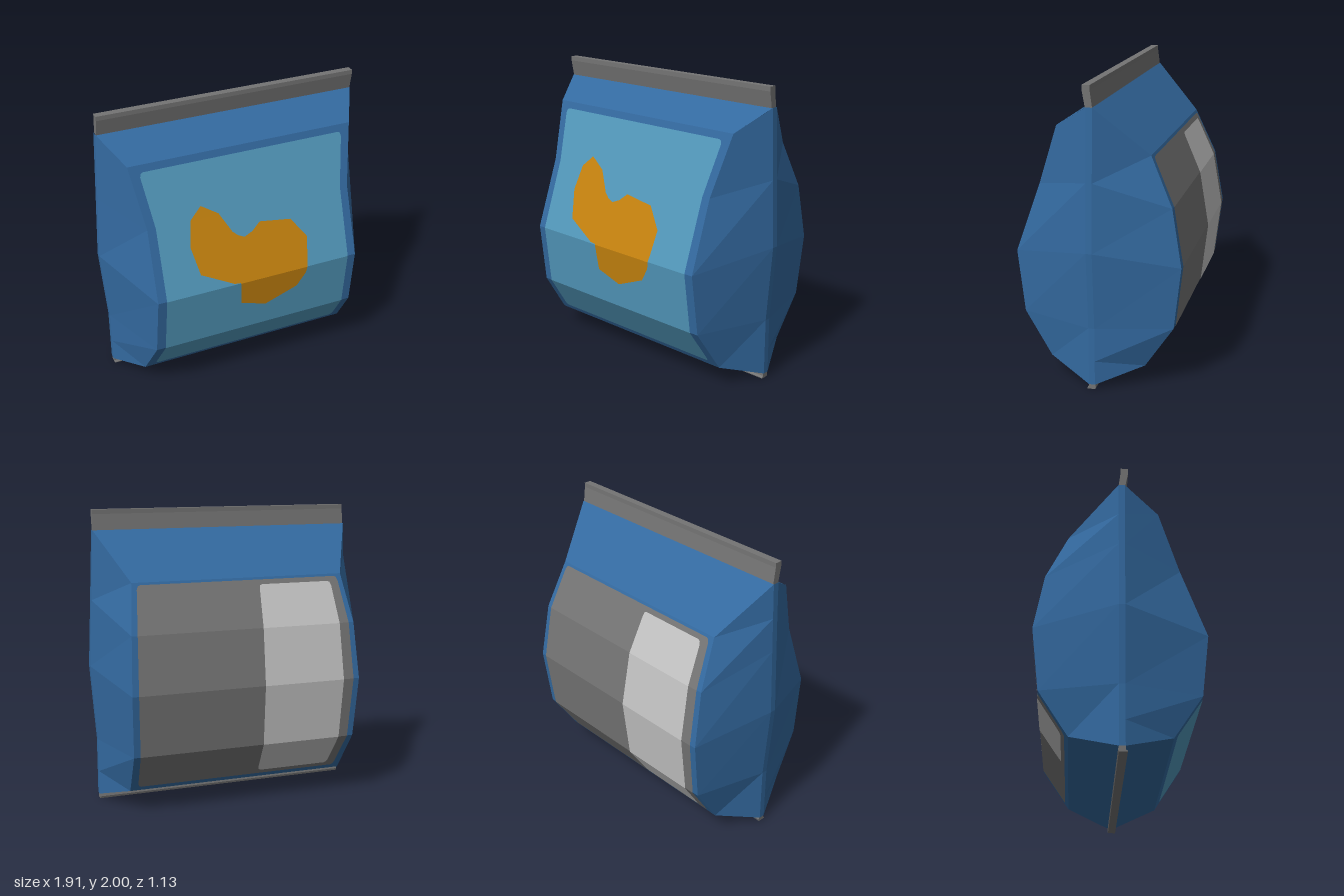
import * as THREE from 'three';

const mat = (name, color) => {
  const m = new THREE.MeshStandardMaterial({ color });
  m.name = name;
  return m;
};

// Rows from bottom to top: [half width, y, z] of the front and back faces and the side seam
const FRONT = [[0.915, 0.035, 0.02], [0.768, 0.14, 0.32], [0.738, 0.43, 0.51], [0.73, 0.85, 0.56],
  [0.725, 1.32, 0.392], [0.79, 1.72, 0.25], [0.915, 1.865, 0.022]];
const BACK = [[0.915, 0.035, -0.02], [0.768, 0.14, -0.32], [0.785, 0.43, -0.51], [0.8, 0.85, -0.557],
  [0.78, 1.23, -0.49], [0.74, 1.55, -0.345], [0.915, 1.865, -0.02]];
const SEAM = [[0.915, 0.035], [0.915, 0.2], [0.915, 0.43], [0.955, 0.95], [0.935, 1.4], [0.925, 1.63], [0.915, 1.865]];

// Faceted pouch skinned from eight-point rings
function pouchGeometry() {
  const pos = [], index = [], n = 8;
  SEAM.forEach(([sx, sy], j) => {
    const half = [FRONT[j], [sx, sy, 0.02], [sx, sy, -0.02], BACK[j]];
    half.forEach((p) => pos.push(...p));
    half.reverse().forEach(([x, y, z]) => pos.push(-x, y, z));
  });
  for (let j = 0; j < SEAM.length - 1; j++) {
    for (let i = 0; i < n; i++) {
      const a = j * n + i, b = j * n + (i + 1) % n;
      index.push(a, b, b + n, a, b + n, a + n);
    }
  }
  const g = new THREE.BufferGeometry();
  g.setAttribute('position', new THREE.Float32BufferAttribute(pos, 3));
  g.setIndex(index);
  const flat = g.toNonIndexed();
  flat.computeVertexNormals();
  return flat;
}

// Keep the part of a polygon where sign * (y - limit) >= 0
function clip(points, limit, sign) {
  const out = [];
  points.forEach((p, i) => {
    const q = points[(i + 1) % points.length];
    const dp = sign * (p[1] - limit), dq = sign * (q[1] - limit);
    if (dp >= 0) out.push(p);
    if (dp * dq < 0) {
      const t = dp / (dp - dq);
      out.push([p[0] + (q[0] - p[0]) * t, limit]);
    }
  });
  return out;
}

// Lay a flat outline onto the facets of the front or back face
function drape(group, name, outline, profile, material, lift) {
  const part = new THREE.Group();
  part.name = name;
  const side = Math.sign(profile[1][2]);
  for (let j = 0; j < profile.length - 1; j++) {
    const [, y0, z0] = profile[j], [, y1, z1] = profile[j + 1];
    const piece = clip(clip(outline, y0, 1), y1, -1);
    if (piece.length < 3) continue;
    const g = new THREE.ShapeGeometry(new THREE.Shape(piece.map(([x, y]) => new THREE.Vector2(x, y))));
    const p = g.attributes.position;
    for (let i = 0; i < p.count; i++) {
      p.setZ(i, z0 + (z1 - z0) * (p.getY(i) - y0) / (y1 - y0) + side * lift);
    }
    if (side < 0) g.index.array.reverse();
    g.computeVertexNormals();
    const mesh = new THREE.Mesh(g, material);
    mesh.name = name + 'Facet';
    part.add(mesh);
  }
  group.add(part);
}

// Outline from rows of [left x, right x, y]
const rowsOutline = (rows) => [
  ...rows.map(([l, , y]) => [l, y]),
  ...rows.slice().reverse().map(([, r, y]) => [r, y]),
];
const mirrorRows = (rows) => rowsOutline(rows.map(([x, y]) => [-x, x, y]));

// Crimped strip: a (z, y) section extruded across the width
function seal(name, section, material) {
  const shape = new THREE.Shape(section.map(([z, y]) => new THREE.Vector2(z, y)));
  const g = new THREE.ExtrudeGeometry(shape, { depth: 1.82, bevelEnabled: false });
  g.translate(0, 0, -0.91).rotateY(-Math.PI / 2);
  const mesh = new THREE.Mesh(g, material);
  mesh.name = name;
  return mesh;
}

export function createModel() {
  const group = new THREE.Group();
  group.name = 'snackBag';
  const blue = mat('bagBlue', 0x33699f);
  const lightBlue = mat('panelBlue', 0x5298bb);
  const orange = mat('patchOrange', 0xc6830f);
  const gray = mat('sealGray', 0x747474);
  const pale = mat('labelGray', 0xc2c2c2);

  const pouch = new THREE.Mesh(pouchGeometry(), blue);
  pouch.name = 'pouch';
  group.add(pouch);

  // Top and bottom seals
  group.add(seal('topSeal', [[0.025, 1.86], [-0.02, 1.86], [-0.005, 1.97], [-0.005, 2], [0.045, 2], [0.045, 1.97]], gray));
  group.add(seal('bottomSeal', [[0.022, 0.04], [0.022, 0.015], [0.033, 0.005], [0.033, 0], [-0.02, 0], [-0.025, 0.015], [-0.02, 0.04]], gray));

  // Front panel and its painted patch
  drape(group, 'frontPanel', mirrorRows([[0.695, 1.675], [0.711, 1.668], [0.717, 1.645], [0.668, 1.32], [0.67, 0.85],
    [0.677, 0.43], [0.698, 0.21], [0.697, 0.19], [0.685, 0.18]]), FRONT, lightBlue, 0.004);
  drape(group, 'frontPatch', [[-0.35, 1.4], [-0.235, 1.33], [-0.155, 1.195], [-0.12, 1.165], [-0.075, 1.145],
    [-0.015, 1.17], [0.045, 1.22], [0.27, 1.19], [0.375, 1.055], [0.36, 0.89], [0.345, 0.8], [0.285, 0.7],
    [0.055, 0.605], [-0.13, 0.67], [-0.145, 0.855], [-0.19, 0.86], [-0.415, 0.97], [-0.46, 1.16], [-0.43, 1.325]],
  FRONT, orange, 0.008);

  // Back panel and its pale label
  drape(group, 'backPanel', mirrorRows([[0.685, 1.535], [0.702, 1.528], [0.711, 1.505], [0.742, 1.23], [0.757, 0.85],
    [0.742, 0.43], [0.722, 0.2], [0.715, 0.18], [0.7, 0.17]]), BACK, gray, 0.004);
  drape(group, 'backLabel', rowsOutline([[-0.63, -0.15, 1.505], [-0.647, -0.135, 1.498], [-0.655, -0.13, 1.475],
    [-0.672, -0.115, 1.23], [-0.682, -0.108, 0.85], [-0.675, -0.115, 0.43], [-0.66, -0.13, 0.23],
    [-0.652, -0.137, 0.21], [-0.635, -0.15, 0.2]]), BACK, pale, 0.008);

  return group;
}
